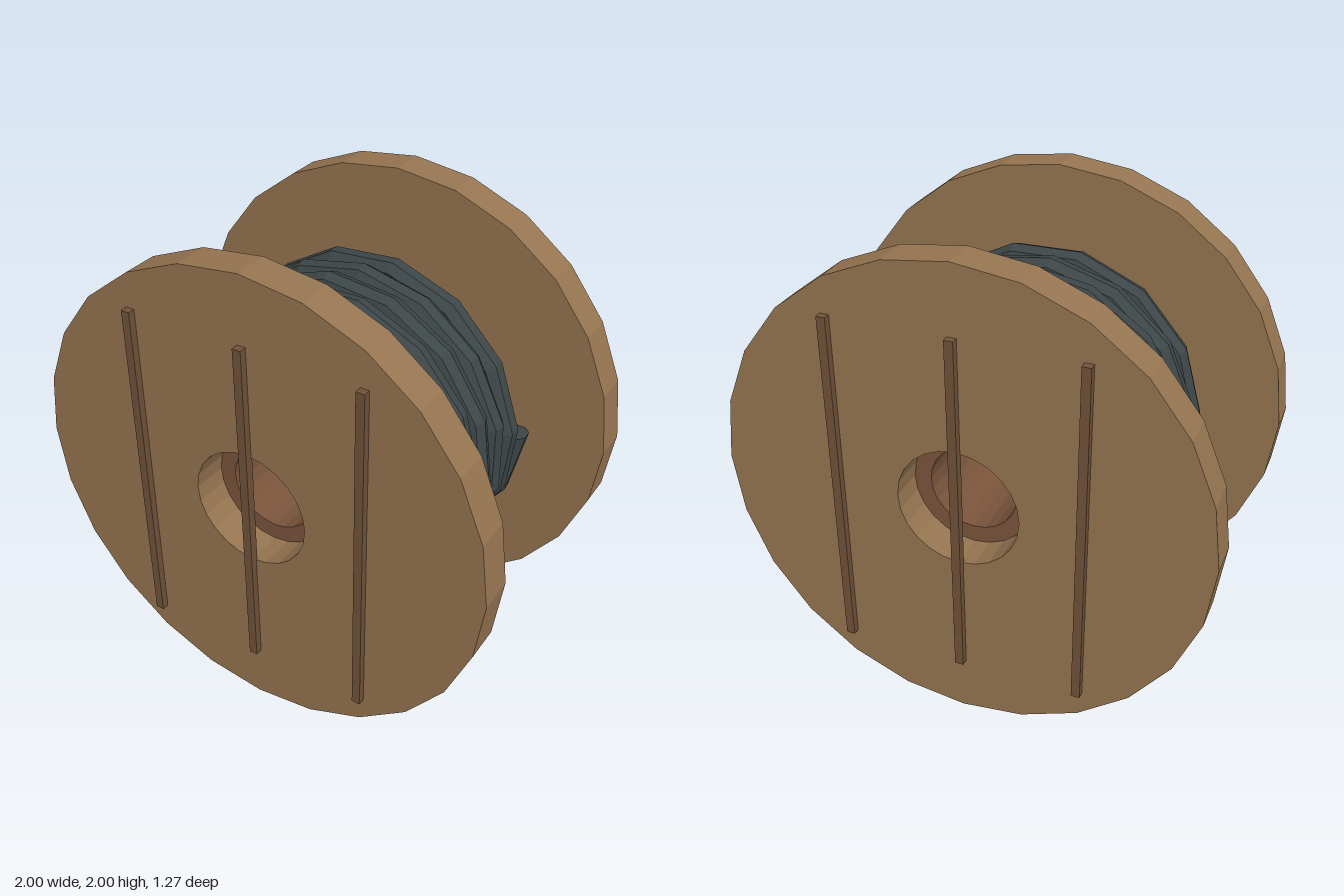
import * as THREE from 'three';

const material = (name, color, extra = {}) => {
  const m = new THREE.MeshStandardMaterial({ color, flatShading: true, ...extra });
  m.name = name;
  return m;
};

// Thick ring around the z axis, centred on z = 0
function ring(outer, inner, depth, sides, holeSides) {
  const polygon = (r, n) => Array.from({ length: n }, (_, i) => {
    const a = (i / n) * Math.PI * 2;
    return new THREE.Vector2(r * Math.cos(a), r * Math.sin(a));
  });
  const shape = new THREE.Shape(polygon(outer, sides));
  shape.holes.push(new THREE.Path(polygon(inner, holeSides)));
  return new THREE.ExtrudeGeometry(shape, { depth, bevelEnabled: false }).translate(0, 0, -depth / 2);
}

// Coil wound around the z axis
class Helix extends THREE.Curve {
  constructor(radius, turns, zStart, zEnd) {
    super();
    Object.assign(this, { radius, turns, zStart, zEnd });
  }
  getPoint(t, target = new THREE.Vector3()) {
    const a = t * this.turns * Math.PI * 2;
    return target.set(this.radius * Math.cos(a), this.radius * Math.sin(a),
      THREE.MathUtils.lerp(this.zStart, this.zEnd, t));
  }
}

export function createModel() {
  const wood = material('flange wood', 0x967551);
  const darkWood = material('drum wood', 0x7a543c);
  const slatWood = material('slat wood', 0x70523a);
  const rubber = material('cable rubber', 0x3c4547);

  const model = new THREE.Group();
  model.name = 'cableSpool';
  const add = (name, geometry, mat, x, y, z) => {
    const mesh = new THREE.Mesh(geometry, mat);
    mesh.name = name;
    mesh.position.set(x, y, z);
    model.add(mesh);
    return mesh;
  };

  // Hollow drum
  add('drum', ring(0.485, 0.18, 0.91, 24, 24), darkWood, 0, 1, 0);

  // Flanges with three slats on each outer face
  const flange = ring(1, 0.25, 0.15, 24, 24);
  const slat = new THREE.BoxGeometry(0.036, 1.47, 0.036);
  for (const [side, s] of [['front', 1], ['back', -1]]) {
    add(side + 'Flange', flange, wood, 0, 1, s * 0.53);
    for (const x of [-0.5, 0, 0.5]) add(side + 'Slat', slat, slatWood, x, 0.985, s * 0.617);
  }

  // Cable wound seven times, with closed ends
  const path = new Helix(0.63, 7, 0.4, -0.4);
  const steps = 100, sides = 8, thickness = 0.06;
  const cable = new THREE.TubeGeometry(path, steps, thickness, sides, false);
  add('cable', cable, rubber, 0, 1, 0);
  const frames = path.computeFrenetFrames(steps, false);
  for (const [i, t, dir] of [[0, 0, -1], [steps, 1, 1]]) {
    const cap = new THREE.CircleGeometry(thickness, sides);
    const out = frames.tangents[i].clone().multiplyScalar(dir);
    const side = frames.normals[i];
    cap.applyMatrix4(new THREE.Matrix4().makeBasis(side, out.clone().cross(side), out));
    const p = path.getPoint(t);
    add('cableEnd', cap, rubber, p.x, p.y + 1, p.z);
  }
  return model;
}
